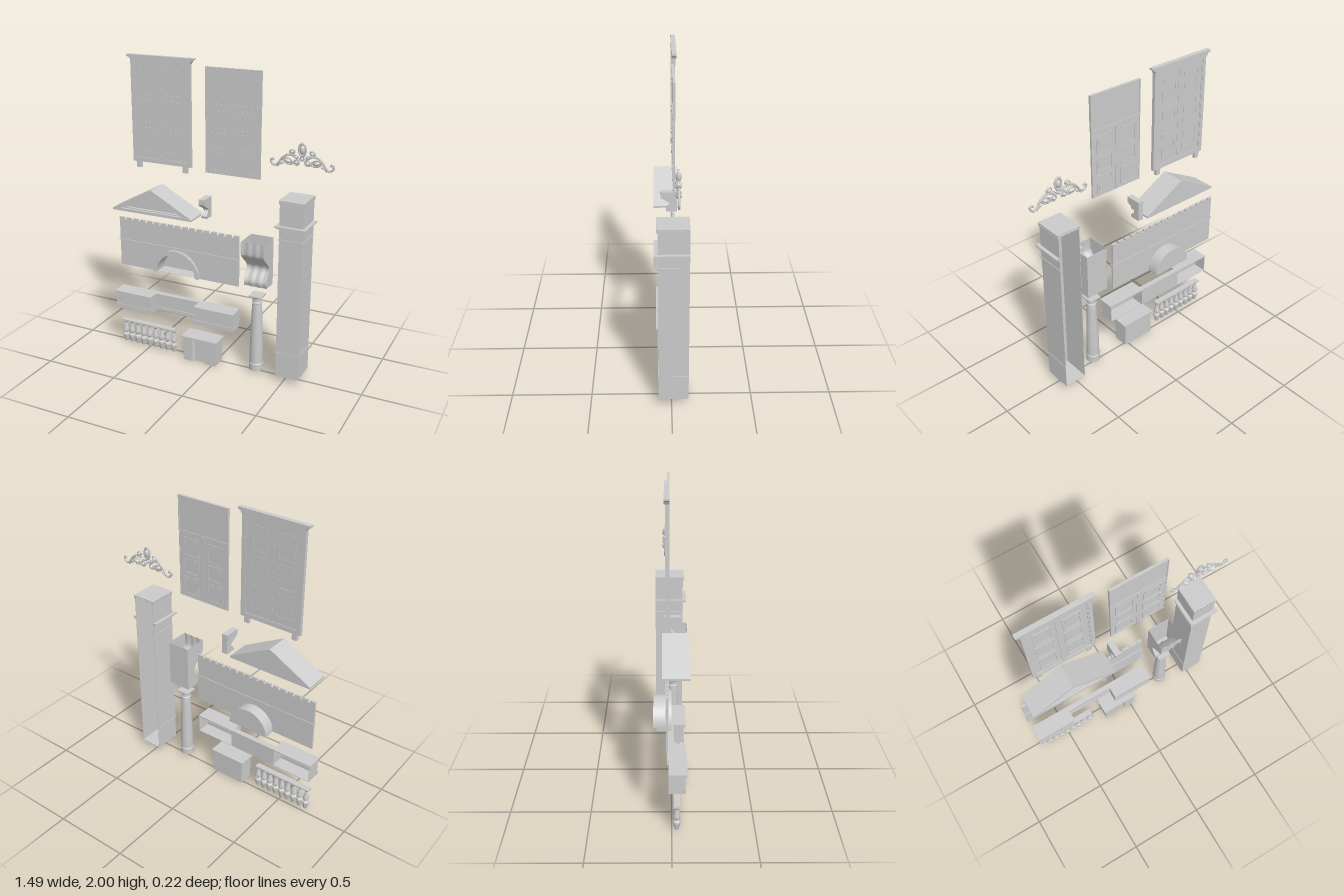
import * as THREE from 'three';

const mat = new THREE.MeshStandardMaterial({ color: 0xcccccc, side: THREE.DoubleSide });
const flat = new THREE.MeshStandardMaterial({ color: 0xcccccc, side: THREE.DoubleSide, flatShading: true });

function part(parent, name, geo, material = mat) {
  const m = new THREE.Mesh(geo, material);
  m.name = name;
  parent.add(m);
  return m;
}
function group(parent, name) {
  const g = new THREE.Group();
  g.name = name;
  parent.add(g);
  return g;
}
// Box given by its limits on each axis
function box(p, name, x0, x1, y0, y1, z0, z1) {
  const g = new THREE.BoxGeometry(x1 - x0, y1 - y0, z1 - z0);
  return part(p, name, g.translate((x0 + x1) / 2, (y0 + y1) / 2, (z0 + z1) / 2));
}
function polygon(pts) {
  return new THREE.Shape(pts.map(([x, y]) => new THREE.Vector2(x, y)));
}
function extrude(p, name, shape, z0, z1) {
  const g = new THREE.ExtrudeGeometry(shape, { depth: z1 - z0, bevelEnabled: false, curveSegments: 24 });
  return part(p, name, g.translate(0, 0, z0), flat);
}
// Rectangular moulding with an open middle
function frame(p, name, x0, x1, y0, y1, w, z0, z1) {
  const s = polygon([[x0, y0], [x1, y0], [x1, y1], [x0, y1]]);
  s.holes.push(polygon([[x0 + w, y0 + w], [x0 + w, y1 - w], [x1 - w, y1 - w], [x1 - w, y0 + w]]));
  return extrude(p, name, s, z0, z1);
}
// Panels in two columns and several rows, moulded on both faces
function panels(p, cols, rows, zb, zf) {
  for (const [x0, x1] of cols) for (const [y0, y1] of rows) {
    frame(p, 'panelMoulding', x0, x1, y0, y1, 0.009, zb, zf);
    box(p, 'raisedPanel', x0 + 0.016, x1 - 0.016, y0 + 0.016, y1 - 0.016, zb + 0.002, zf - 0.002);
  }
}

function cabinetDoors(root) {
  const g = group(root, 'corniceDoor');
  box(g, 'doorBoard', -0.6, -0.2, 1.32, 1.97, -0.03, -0.02);
  frame(g, 'outerFrame', -0.61, -0.19, 1.315, 1.975, 0.024, -0.035, -0.013);
  frame(g, 'innerFrame', -0.587, -0.213, 1.338, 1.952, 0.008, -0.033, -0.016);
  box(g, 'middleStile', -0.412, -0.388, 1.34, 1.95, -0.032, -0.015);
  panels(g, [[-0.55, -0.435], [-0.372, -0.258]], [[1.385, 1.543], [1.57, 1.724], [1.75, 1.913]], -0.032, -0.016);
  extrude(g, 'cornice', polygon([[-0.61, 1.965], [-0.19, 1.965], [-0.182, 1.98], [-0.165, 1.988],
    [-0.165, 2], [-0.637, 2], [-0.637, 1.988], [-0.618, 1.98]]), -0.042, -0.012);
  for (const x of [-0.587, -0.25]) box(g, 'foot', x, x + 0.033, 1.275, 1.32, -0.034, -0.013);
}

function plainDoor(root) {
  const g = group(root, 'plainDoor');
  box(g, 'doorBoard', -0.083, 0.283, 1.302, 1.958, -0.022, -0.014);
  frame(g, 'upperFrame', -0.086, 0.284, 1.735, 1.96, 0.006, -0.026, -0.01);
  frame(g, 'lowerFrame', -0.086, 0.284, 1.3, 1.737, 0.006, -0.024, -0.012);
  box(g, 'middleStile', 0.089, 0.106, 1.302, 1.725, -0.025, -0.011);
  panels(g, [[-0.053, 0.067], [0.13, 0.249]], [[1.32, 1.44], [1.46, 1.565], [1.58, 1.702]], -0.025, -0.011);
}

// Scrolled crest, mirrored about its centre
function crest(root) {
  const g = group(root, 'crestOrnament');
  g.position.set(0.54, 0, -0.038);
  const oval = (x, y, rx, ry, tilt) => {
    const o = group(g, 'oval');
    o.position.set(x, y, 0);
    o.rotation.z = tilt;
    o.scale.set(rx, ry, 0.03);
    part(o, 'ovalRim', new THREE.TorusGeometry(0.8, 0.2, 8, 24));
    part(o, 'ovalBoss', new THREE.SphereGeometry(0.6, 16, 10));
  };
  oval(0, 1.51, 0.028, 0.046, 0);
  oval(0, 1.455, 0.018, 0.014, 0);
  for (const s of [-1, 1]) {
    oval(s * 0.064, 1.492, 0.022, 0.017, -s * 0.5);
    oval(s * 0.038, 1.465, 0.02, 0.012, s * 0.5);
    oval(s * 0.09, 1.435, 0.038, 0.023, s * 0.3);
    oval(s * 0.035, 1.43, 0.022, 0.02, -s * 0.5);
    const pts = [[0.02, 1.44], [0.05, 1.468], [0.09, 1.473], [0.125, 1.45], [0.15, 1.415], [0.172, 1.4],
      [0.192, 1.41], [0.197, 1.432], [0.183, 1.438], [0.178, 1.428]].map(([x, y]) => new THREE.Vector3(s * x, y, 0));
    part(g, 'scroll', new THREE.TubeGeometry(new THREE.CatmullRomCurve3(pts), 48, 0.007, 6));
    const low = [[0.12, 1.42], [0.14, 1.41], [0.16, 1.395]].map(([x, y]) => new THREE.Vector3(s * x, y, 0));
    part(g, 'leaf', new THREE.TubeGeometry(new THREE.CatmullRomCurve3(low), 10, 0.006, 6));
  }
}

function pediment(root) {
  const g = group(root, 'pediment');
  const c = -0.42;
  const tri = (w, y0, eave, top) => [[c - w, y0], [c + w, y0], [c + w, eave], [c, top], [c - w, eave]];
  extrude(g, 'gableBody', polygon(tri(0.29, 1.0, 1.012, 1.168)), -0.055, 0.07);
  const rim = polygon(tri(0.29, 1.0, 1.012, 1.168));
  rim.holes.push(polygon([[c - 0.225, 1.018], [c, 1.142], [c + 0.225, 1.018]]));
  extrude(g, 'rakeCornice', rim, 0.07, 0.105);
  const step = polygon([[c - 0.25, 1.01], [c + 0.25, 1.01], [c, 1.15]]);
  step.holes.push(polygon([[c - 0.195, 1.024], [c, 1.131], [c + 0.195, 1.024]]));
  extrude(g, 'innerMoulding', step, 0.065, 0.088);
}

// S-shaped bracket with a fluted front, lofted down its profile
function bracket(root, name, x0, x1, y0, y1, z0, z1, closed) {
  const g = group(root, name);
  const curve = new THREE.SplineCurve([[1, 1], [1, 0.78], [0.93, 0.68], [0.62, 0.54], [0.42, 0.43], [0.41, 0.33],
    [0.58, 0.2], [0.67, 0.1], [0.62, 0]].map(([z, y]) => new THREE.Vector2(z, y)));
  const n = 28, m = 18, pos = [], idx = [];
  for (let j = 0; j <= n; j++) {
    const p = curve.getPoint(j / n);
    for (let i = 0; i <= m; i++) {
      const flute = 0.035 * (Math.cos((i / m) * Math.PI * 6) - 1) / 2;
      pos.push(x0 + (x1 - x0) * i / m, y0 + (y1 - y0) * p.y, z0 + (z1 - z0) * (p.x + flute));
      if (j < n && i < m) {
        const a = j * (m + 1) + i, b = a + m + 1;
        idx.push(a, b, a + 1, a + 1, b, b + 1);
      }
    }
  }
  const geo = new THREE.BufferGeometry();
  geo.setAttribute('position', new THREE.Float32BufferAttribute(pos, 3));
  geo.setIndex(idx);
  geo.computeVertexNormals();
  part(g, 'flutedFront', geo);
  const outline = curve.getPoints(n).map(p => [-(z0 + (z1 - z0) * p.x), y0 + (y1 - y0) * p.y]);
  const side = polygon([...outline, [-z0, y0], [-z0, y1]]);
  for (const x of [x0, x1]) {
    const s = part(g, 'sideCheek', new THREE.ShapeGeometry(side), flat);
    s.rotation.y = Math.PI / 2;
    s.position.x = x;
  }
  box(g, 'backPlate', x0, x1, y0, y1, z0, z0 + 0.002);
  box(g, 'bottomPlate', x0, x1, y0, y0 + 0.002, z0, z0 + (z1 - z0) * 0.6);
  if (closed) box(g, 'topPlate', x0, x1, y1 - 0.002, y1, z0, z1);
}

function archWall(root) {
  const g = group(root, 'archWall');
  const cx = -0.31, y0 = 0.56, r = 0.142;
  const s = polygon([[-0.74, y0], [cx - r, y0]]);
  s.absarc(cx, y0, r, Math.PI, 0, true);
  for (const [x, y] of [[0.143, y0], [0.143, 0.89], [-0.74, 0.89]]) s.lineTo(x, y);
  extrude(g, 'wallSlab', s, -0.033, -0.02);
  for (let i = 0; i < 17; i++) {
    const x = -0.74 + i * 0.0529;
    box(g, 'topTooth', x, x + 0.036, 0.889, 0.906, -0.033, -0.018);
  }
  box(g, 'stringCourse', -0.745, 0.147, 0.742, 0.749, -0.037, -0.014);
  for (const [ri, ro, z] of [[r, 0.172, -0.005], [0.156, 0.168, 0]]) {
    const a = new THREE.Shape();
    a.absarc(cx, y0, ro, 0, Math.PI, false);
    a.absarc(cx, y0, ri, Math.PI, 0, true);
    extrude(g, 'archMoulding', a, -0.021, z);
  }
  // Niche behind the arch
  const vault = new THREE.CylinderGeometry(r, r, 0.085, 24, 1, true, Math.PI / 2, Math.PI);
  part(g, 'nicheVault', vault.rotateX(Math.PI / 2).translate(cx, y0, -0.0675));
  part(g, 'nicheBack', new THREE.CircleGeometry(r, 24, 0, Math.PI).translate(cx, y0, -0.11));
  box(g, 'nicheFloor', cx - r, cx + r, y0, y0 + 0.002, -0.11, -0.02);
}

// Entablature with projecting hollow ends and a set-back middle
function entablature(root) {
  const g = group(root, 'entablature');
  for (const [a, b] of [[-0.728, -0.455], [-0.125, 0.152]]) {
    box(g, 'endFront', a, b, 0.28, 0.405, 0.076, 0.08);
    for (const x of [a, b - 0.003]) box(g, 'endCheek', x, x + 0.003, 0.28, 0.405, -0.02, 0.078);
    box(g, 'endSoffit', a, b, 0.28, 0.283, -0.02, 0.078);
    box(g, 'endCornice', a - 0.004, b + 0.004, 0.398, 0.407, -0.02, 0.092);
    box(g, 'endFillet', a - 0.002, b + 0.002, 0.386, 0.398, 0.07, 0.085);
    box(g, 'endArchitrave', a - 0.002, b + 0.002, 0.28, 0.31, 0.07, 0.084);
  }
  box(g, 'middleBlock', -0.455, -0.125, 0.28, 0.4, -0.02, 0.0);
  box(g, 'middleCornice', -0.455, -0.125, 0.396, 0.407, -0.02, 0.015);
  box(g, 'middleFillet', -0.455, -0.125, 0.384, 0.397, -0.01, 0.008);
  box(g, 'middleArchitrave', -0.455, -0.125, 0.28, 0.305, -0.01, 0.006);
}

function balustrade(root) {
  const g = group(root, 'balustrade');
  const prof = [[0, 0.01], [0.013, 0.01], [0.023, 0.055], [0.021, 0.065], [0.011, 0.071], [0.011, 0.077], [0.02, 0.086],
    [0.02, 0.1], [0.01, 0.14], [0.009, 0.15], [0.016, 0.158], [0.016, 0.168]].map(([x, y]) => new THREE.Vector2(x, y));
  for (let i = 0; i < 9; i++)
    part(g, 'baluster', new THREE.LatheGeometry(prof, 8).translate(-0.69 + i * 0.0472, 0, 0.03), flat);
  box(g, 'handrail', -0.714, -0.3, 0.167, 0.175, 0.01, 0.05);
}

function pedestal(root) {
  const g = group(root, 'pedestal');
  const plan = polygon([[-0.207, 0.02], [0.027, 0.02], [0.027, -0.085], [-0.05, -0.085], [-0.05, -0.068],
    [-0.133, -0.068], [-0.142, -0.085], [-0.207, -0.085]]);
  const body = new THREE.ExtrudeGeometry(plan, { depth: 0.167, bevelEnabled: false });
  part(g, 'pedestalBody', body.rotateX(-Math.PI / 2).scale(1, 1, 1), flat);
  box(g, 'pedestalCap', -0.219, 0.037, 0.165, 0.177, -0.028, 0.095);
}

function column(root) {
  const g = group(root, 'column');
  g.position.set(0.29, 0, 0.012);
  const prof = [[0, 0.02], [0.047, 0.02], [0.047, 0.065], [0.043, 0.072], [0.043, 0.15], [0.04, 0.28], [0.033, 0.46],
    [0.03, 0.49], [0.034, 0.493], [0.034, 0.5], [0.029, 0.504], [0.028, 0.525], [0.036, 0.54], [0, 0.54]];
  prof.slice(0, -1).forEach(([r0, a], i) => {
    const [r1, b] = prof[i + 1];
    part(g, 'columnSection', new THREE.LatheGeometry([new THREE.Vector2(r0, a), new THREE.Vector2(r1, b)], 24));
  });
  box(g, 'abacus', -0.043, 0.043, 0.539, 0.549, -0.043, 0.043);
}

// Tall pier, hollow and open at the back
function pier(root) {
  const g = group(root, 'pier');
  const x0 = 0.453, x1 = 0.605, zb = -0.105, zf = 0.08, t = 0.003;
  const band = (name, y0, y1, d) => {
    box(g, name, x0 - d, x1 + d, y0, y1, zf - t, zf + d);
    box(g, name, x0 - d, x0 + t, y0, y1, zb, zf);
    box(g, name, x1 - t, x1 + d, y0, y1, zb, zf);
  };
  band('shaftWall', 0.04, 1.205, 0);
  box(g, 'bottomPlate', x0, x1, 0.04, 0.043, zb, zf);
  box(g, 'topPlate', x0, x1, 1.203, 1.208, zb, zf);
  band('lowerBead', 0.205, 0.211, 0.003);
  band('neckBead', 0.967, 0.974, 0.004);
  band('ringUnderside', 1.042, 1.05, 0.013);
  band('ring', 1.05, 1.06, 0.023);
  for (let i = 0; i < 7; i++) {
    const x = x0 + i * 0.0233, z = zb + i * 0.0285;
    box(g, 'frontTooth', x, x + 0.014, 1.196, 1.22, zf - 0.008, zf + 0.007);
    box(g, 'sideTooth', x0 - 0.006, x0 + 0.008, 1.196, 1.22, z, z + 0.016);
    box(g, 'sideTooth', x1 - 0.008, x1 + 0.006, 1.196, 1.22, z, z + 0.016);
  }
  box(g, 'capPlate', x0 - 0.004, x1 + 0.004, 1.212, 1.22, zb, zf + 0.004);
}

export function createModel() {
  const root = new THREE.Group();
  root.name = 'facadeParts';
  for (const build of [cabinetDoors, plainDoor, crest, pediment, archWall, entablature, balustrade, pedestal, column, pier])
    build(root);
  bracket(root, 'largeBracket', 0.213, 0.366, 0.612, 0.925, -0.055, 0.105, false);
  bracket(root, 'smallBracket', -0.1, -0.06, 1.005, 1.14, -0.045, 0.06, true);
  return root;
}
